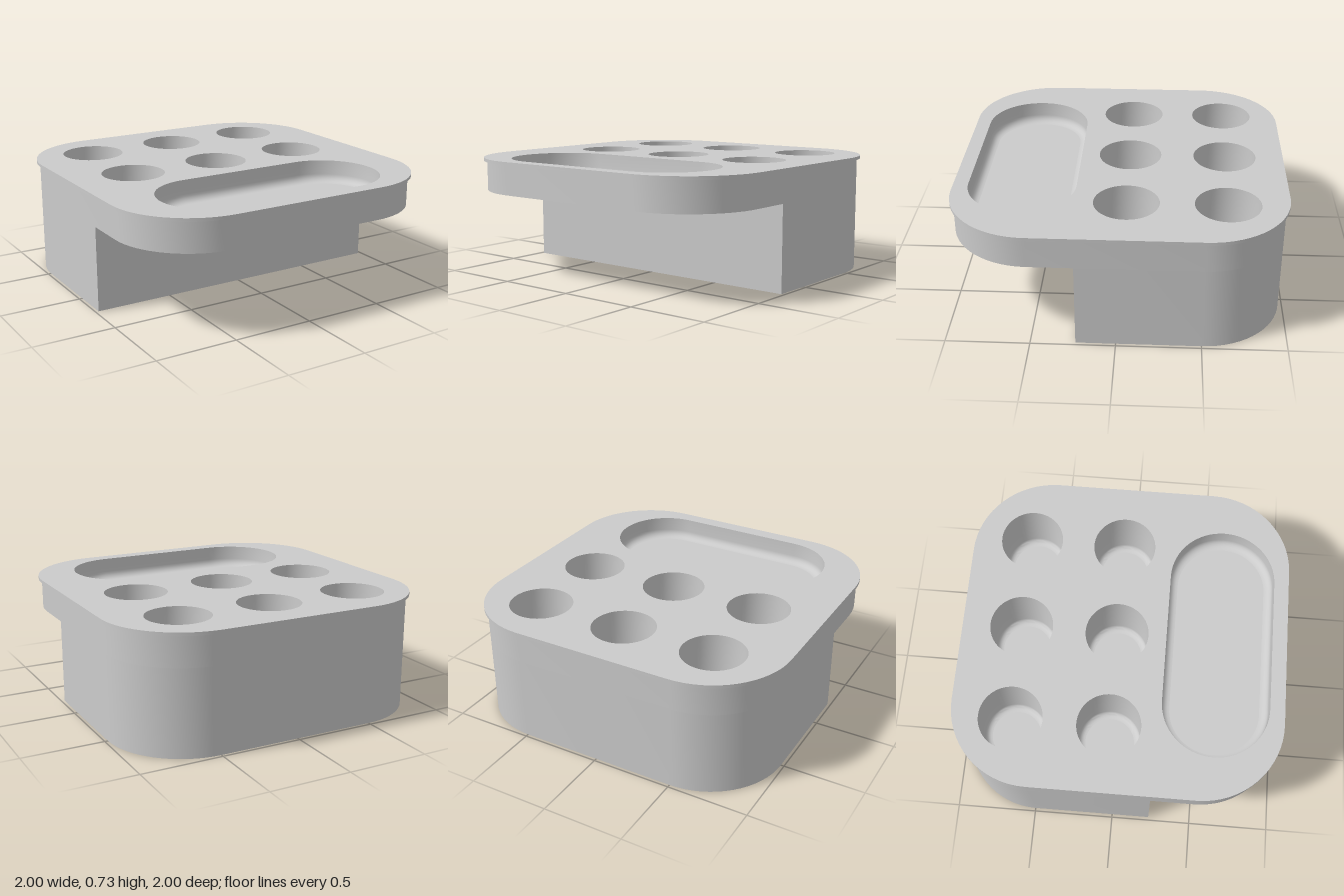
import * as THREE from 'three';
import { toCreasedNormals } from 'three/addons/utils/BufferGeometryUtils.js';

const material = new THREE.MeshStandardMaterial({ color: 0xcccccc });
const LID_TOP = 0.73, LID_BASE = 0.71, SHELF = 0.525, STEP_Z = 0.235;

// Rounded rectangle outline in x/z as a list of [x, z]
function ring(hx, hz, r, cx = 0, cz = 0, n = 16) {
  const pts = [];
  [[1, 1], [-1, 1], [-1, -1], [1, -1]].forEach(([sx, sz], k) => {
    for (let i = 0; i <= n; i++) {
      const a = (k + i / n) * Math.PI / 2;
      pts.push([cx + sx * (hx - r) + r * Math.cos(a), cz + sz * (hz - r) + r * Math.sin(a)]);
    }
  });
  return pts;
}

// Wall through stacked outlines: rising faces outward, descending faces inward
function wall(levels) {
  const pos = [];
  for (let l = 0; l + 1 < levels.length; l++) {
    const [lo, hi] = [levels[l], levels[l + 1]];
    lo.pts.forEach((p, i) => {
      const j = (i + 1) % lo.pts.length, q = lo.pts[j];
      if (Math.hypot(p[0] - q[0], p[1] - q[1]) < 1e-5) return;
      const a = [p[0], lo.y, p[1]], b = [q[0], lo.y, q[1]];
      const c = [hi.pts[j][0], hi.y, hi.pts[j][1]], d = [hi.pts[i][0], hi.y, hi.pts[i][1]];
      pos.push(...a, ...c, ...b, ...a, ...d, ...c);
    });
  }
  const g = new THREE.BufferGeometry();
  g.setAttribute('position', new THREE.Float32BufferAttribute(pos, 3));
  return toCreasedNormals(g, 0.6);
}

// Flat face at height y, pointing up or down, with optional holes
function cap(pts, y, up, holes = []) {
  const to2D = list => list
    .filter((p, i) => {
      const q = list[(i + 1) % list.length];
      return Math.hypot(p[0] - q[0], p[1] - q[1]) > 1e-5;
    })
    .map(([x, z]) => new THREE.Vector2(x, up ? -z : z));
  const shape = new THREE.Shape(to2D(pts));
  holes.forEach(h => shape.holes.push(new THREE.Path(to2D(h))));
  return new THREE.ShapeGeometry(shape).rotateX(up ? -Math.PI / 2 : Math.PI / 2).translate(0, y, 0);
}

function addPart(parent, name, ...geometries) {
  const part = new THREE.Group();
  part.name = name;
  geometries.forEach(g => {
    const mesh = new THREE.Mesh(g, material);
    mesh.name = name + 'Surface';
    part.add(mesh);
  });
  parent.add(part);
}

// Recess with straight sides and a filleted floor
function addPocket(parent, name, { hx, hz, r, cx, cz, floor, fillet }) {
  const levels = [{ pts: ring(hx, hz, r, cx, cz), y: LID_TOP }];
  for (let i = 0; i <= 6; i++) {
    const a = i / 6 * Math.PI / 2, inset = fillet * (1 - Math.cos(a));
    levels.push({
      pts: ring(hx - inset, hz - inset, r - inset, cx, cz),
      y: floor + fillet * (1 - Math.sin(a)),
    });
  }
  addPart(parent, name, wall(levels), cap(levels.at(-1).pts, floor, true));
  return levels[0].pts;
}

export function createModel() {
  const model = new THREE.Group();
  model.name = 'organizerTray';
  const lid = ring(1, 1, 0.5);
  const body = ring(0.98, 0.98, 0.48);

  // Six round cups in two rows, and the long tray in front
  const holes = [];
  for (const cz of [-0.635, -0.045]) {
    for (const cx of [-0.59, 0, 0.59]) {
      holes.push(addPocket(model, 'cup', { hx: 0.194, hz: 0.194, r: 0.194, cx, cz, floor: 0.33, fillet: 0.04 }));
    }
  }
  holes.push(addPocket(model, 'longTray', { hx: 0.735, hz: 0.325, r: 0.325, cx: 0, cz: 0.585, floor: 0.59, fillet: 0.05 }));

  // Thin lid with a small overhang
  addPart(model, 'lid',
    wall([{ pts: lid, y: LID_BASE }, { pts: lid, y: LID_TOP }]),
    cap(lid, LID_TOP, true, holes),
    cap(lid, LID_BASE, false, [body]));

  // Upper body, whose front part overhangs the base
  const front = body.filter(p => p[1] > 0);
  front.push([-0.98, STEP_Z], [0.98, STEP_Z]);
  addPart(model, 'upperBody',
    wall([{ pts: body, y: SHELF }, { pts: body, y: LID_BASE }]),
    cap(front, SHELF, false));

  // Base block: rounded at the back, cut square at the front
  const back = body.filter(p => p[1] < 0);
  back.push([0.98, STEP_Z], [-0.98, STEP_Z]);
  addPart(model, 'base',
    wall([{ pts: back, y: 0 }, { pts: back, y: SHELF }]),
    cap(back, 0, false));

  return model;
}
